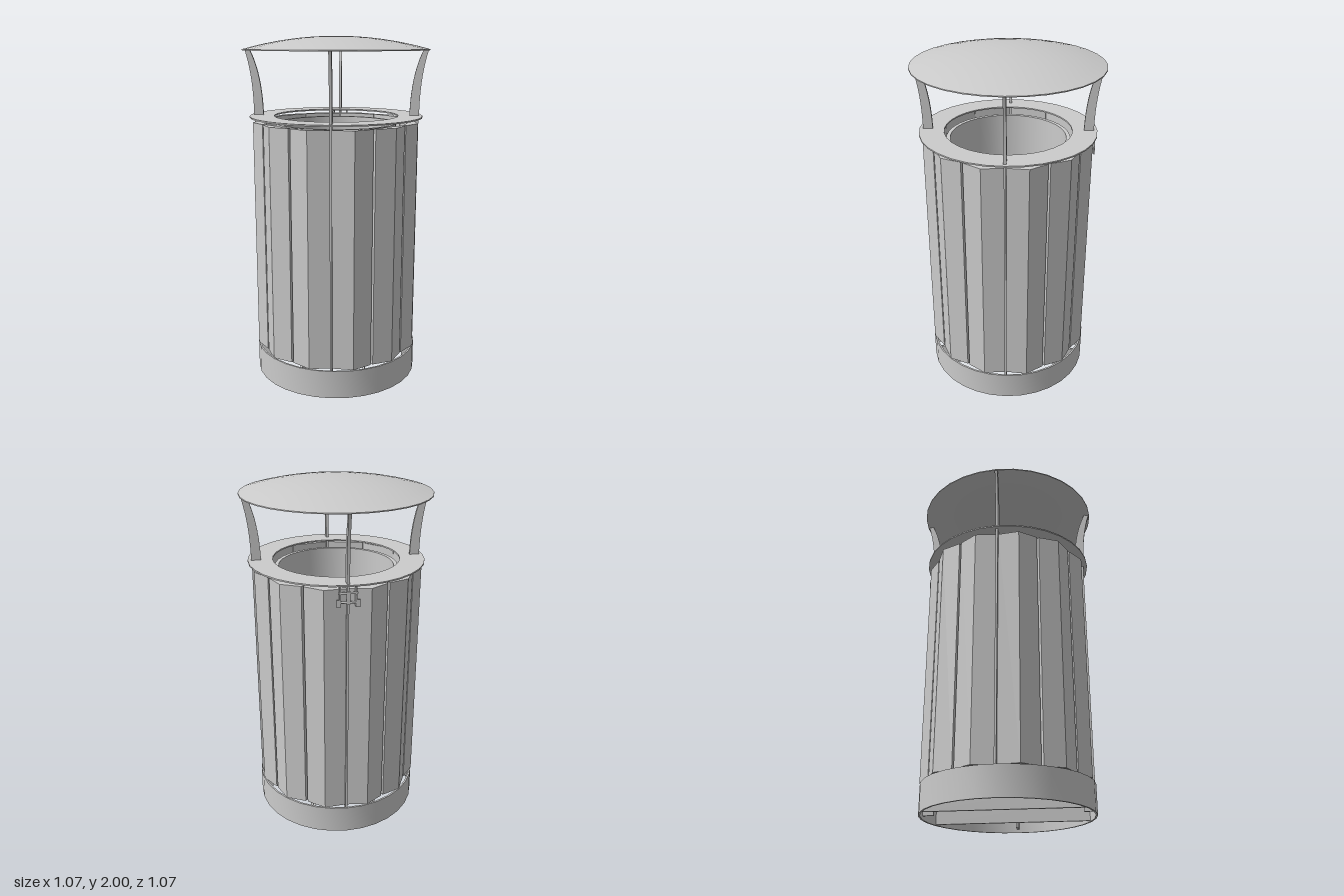
import * as THREE from 'three';
import { toCreasedNormals } from 'three/addons/utils/BufferGeometryUtils.js';

const SEGMENTS = 32;

export function createModel() {
  const model = new THREE.Group();
  const material = new THREE.MeshStandardMaterial({ color: 0xcccccc });

  const add = (name, geometry, parent = model) => {
    const mesh = new THREE.Mesh(geometry, material);
    mesh.name = name;
    parent.add(mesh);
    return mesh;
  };
  const vectors = (points) => points.map(([x, y]) => new THREE.Vector2(x, y));
  // Profile runs along the underside, up the outside and back down the inside
  const lathe = (points) =>
    toCreasedNormals(new THREE.LatheGeometry(vectors(points), SEGMENTS), 0.5);
  const tube = (inner, outer, bottom, top) =>
    lathe([[inner, bottom], [outer, bottom], [outer, top], [inner, top], [inner, bottom]]);
  const box = (name, size, position, parent) =>
    add(name, new THREE.BoxGeometry(...size), parent).position.set(...position);

  // Base hoop, top ring and the inner hoops that carry the slats
  add('baseHoop', tube(0.473, 0.483, 0, 0.165));
  add('topRing', tube(0.36, 0.5, 1.544, 1.552));
  for (const y of [0.34, 1.36]) add('slatHoop', tube(0.413, 0.42, y - 0.015, y + 0.015));

  // Removable inner bin with a recessed bottom and a rolled rim
  add('liner', lathe([
    [0, 0.165], [0.27, 0.165], [0.275, 0.135], [0.335, 0.135], [0.335, 1.495],
    [0.35, 1.495], [0.35, 1.51], [0.328, 1.51], [0.328, 0.18], [0, 0.18],
  ]));

  // Two upright strips under the bin
  for (const x of [-0.18, 0.18]) box('supportStrip', [0.012, 0.125, 0.88], [x, 0.0675, 0]);

  // Twelve ridged slats, three between each pair of posts
  const edge = 0.455, ridge = 0.484, back = 0.422;
  const half = THREE.MathUtils.degToRad(14.2);
  const ex = edge * Math.sin(half), ey = edge * Math.cos(half);
  const section = new THREE.Shape(vectors([[-ex, back], [ex, back], [ex, ey], [0, ridge], [-ex, ey]]));
  const slatGeometry = new THREE.ExtrudeGeometry(section, { depth: 1.35, bevelEnabled: false });
  slatGeometry.rotateX(Math.PI / 2).translate(0, 1.52, 0);
  const slats = new THREE.Group();
  slats.name = 'slats';
  model.add(slats);
  for (let i = 0; i < 12; i++) {
    add('slat', slatGeometry, slats).rotation.y = ((i + 0.5) * Math.PI) / 6;
  }

  // Four flat posts with flared arms that carry the roof
  const arm = new THREE.Shape();
  arm.moveTo(0.425, 1.55);
  arm.lineTo(0.48, 1.55);
  arm.bezierCurveTo(0.48, 1.69, 0.492, 1.81, 0.526, 1.925);
  arm.lineTo(0.5, 1.93);
  arm.bezierCurveTo(0.45, 1.83, 0.427, 1.7, 0.425, 1.55);
  const armGeometry = toCreasedNormals(new THREE.ExtrudeGeometry(arm, {
    depth: 0.016, bevelEnabled: false, curveSegments: 10,
  }).translate(0, 0, -0.008), 0.5);
  for (let i = 0; i < 4; i++) {
    const support = new THREE.Group();
    support.name = 'roofSupport';
    support.rotation.y = (i * Math.PI) / 2;
    model.add(support);
    box('post', [0.066, 1.525, 0.012], [0.444, 0.7825, 0], support);
    add('arm', armGeometry, support);
  }

  // Shallow domed roof, a thin spherical shell
  const rim = 0.533, rise = 0.073;
  const radius = (rim * rim + rise * rise) / (2 * rise);
  const dome = (r, lift) => [r, 2 - radius + Math.sqrt(radius * radius - r * r) + lift];
  const steps = [0, 1, 2, 3, 4, 5, 6, 7, 8].map((i) => (rim * i) / 8);
  add('roof', lathe([
    ...steps.map((r) => dome(r, -0.006)),
    ...steps.slice().reverse().map((r) => dome(r, 0)),
  ]));

  // Hinge and catch on the back post
  const latch = new THREE.Group();
  latch.name = 'latch';
  model.add(latch);
  for (const side of [-1, 1]) {
    box('latchPlate', [0.008, 0.115, 0.035], [side * 0.042, 1.488, -0.47], latch);
    box('latchTab', [0.02, 0.04, 0.006], [side * 0.052, 1.45, -0.484], latch);
  }
  for (const y of [1.455, 1.505]) {
    const pin = add('latchPin', new THREE.CylinderGeometry(0.006, 0.006, 0.1, 10), latch);
    pin.rotation.z = Math.PI / 2;
    pin.position.set(0, y, -0.481);
  }
  box('latchHook', [0.022, 0.07, 0.006], [0, 1.48, -0.486], latch);

  return model;
}
